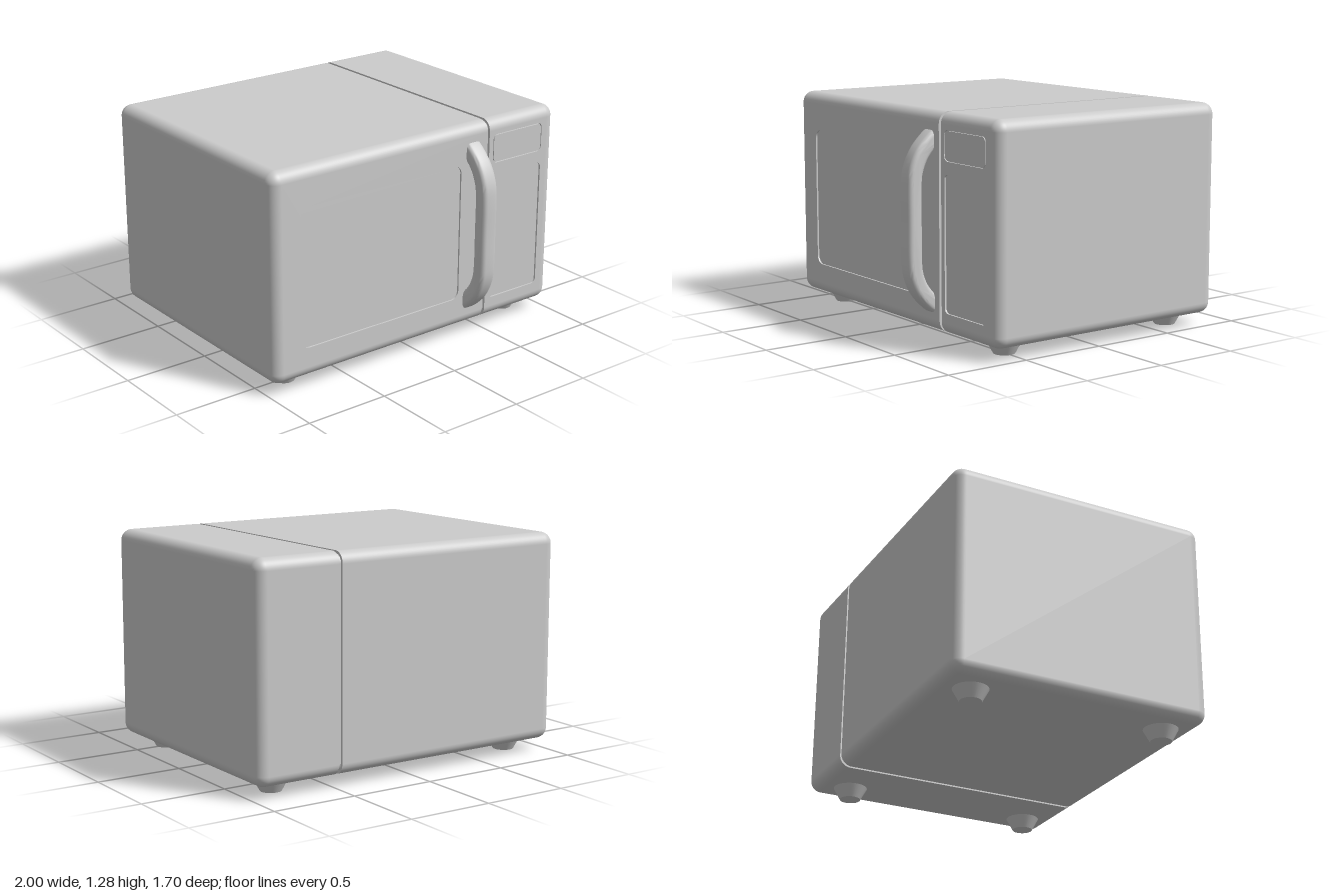
import * as THREE from 'three';
import { RoundedBoxGeometry } from 'three/addons/geometries/RoundedBoxGeometry.js';
import { toCreasedNormals } from 'three/addons/utils/BufferGeometryUtils.js';

const BOTTOM = 0.07, TOP = 1.28, FRONT = 0.69, BACK = -0.85;
const RADIUS = 0.065, RECESS = 0.01;
const MID_Y = (TOP + BOTTOM) / 2, MID_Z = (FRONT + BACK) / 2;
const material = new THREE.MeshStandardMaterial({ color: 0xcccccc, roughness: 0.6 });

function add(parent, name, geometry, x = 0, y = 0, z = 0) {
  const mesh = new THREE.Mesh(geometry, material);
  mesh.name = name;
  mesh.position.set(x, y, z);
  parent.add(mesh);
  return mesh;
}

// Rounded rectangle outline from its edges
function roundedRect(x0, x1, y0, y1, r, Type = THREE.Shape) {
  const s = new Type();
  s.moveTo(x0 + r, y0);
  s.lineTo(x1 - r, y0);
  s.absarc(x1 - r, y0 + r, r, -Math.PI / 2, 0);
  s.lineTo(x1, y1 - r);
  s.absarc(x1 - r, y1 - r, r, 0, Math.PI / 2);
  s.lineTo(x0 + r, y1);
  s.absarc(x0 + r, y1 - r, r, Math.PI / 2, Math.PI);
  s.lineTo(x0, y0 + r);
  s.absarc(x0 + r, y0 + r, r, Math.PI, Math.PI * 1.5);
  return s;
}

// Rounded box with one flat end at x = cut, left open where the front plate sits
function shellGeometry(outer, cut) {
  const dir = Math.sign(cut - outer);
  const width = Math.abs(cut - outer) + RADIUS;
  const g = new RoundedBoxGeometry(width, TOP - BOTTOM, FRONT - BACK, 6, RADIUS);
  g.translate(outer + dir * width / 2, MID_Y, MID_Z);
  const p = g.attributes.position, n = g.attributes.normal;
  const pos = [], nor = [];
  for (let t = 0; t < p.count; t += 3) {
    const ids = [t, t + 1, t + 2];
    if (ids.every(i => p.getZ(i) > FRONT - 1e-4)) continue;
    const cap = ids.every(i => (p.getX(i) - cut) * dir > -1e-4);
    for (const i of ids) {
      const past = (p.getX(i) - cut) * dir > 0;
      pos.push(past ? cut : p.getX(i), p.getY(i), p.getZ(i));
      if (cap) nor.push(dir, 0, 0);
      else nor.push(n.getX(i), n.getY(i), n.getZ(i));
    }
  }
  const out = new THREE.BufferGeometry();
  out.setAttribute('position', new THREE.Float32BufferAttribute(pos, 3));
  out.setAttribute('normal', new THREE.Float32BufferAttribute(nor, 3));
  return out;
}

// Flat front plate with rounded openings, each [x0, x1, y0, y1, radius]
function frontPlate(x0, x1, openings) {
  const y0 = BOTTOM + RADIUS, y1 = TOP - RADIUS;
  const s = new THREE.Shape([[x0, y0], [x1, y0], [x1, y1], [x0, y1]].map(c => new THREE.Vector2(...c)));
  for (const o of openings) s.holes.push(roundedRect(...o, THREE.Path));
  const g = new THREE.ExtrudeGeometry(s, { depth: RECESS, bevelEnabled: false, curveSegments: 8 });
  return toCreasedNormals(g, 0.6);
}

// Curved bar: a band around a side-view centre line, rounded across its width
function handleGeometry() {
  const half = [[0.805, 0.7], [0.805, 0.86], [0.795, 0.96], [0.755, 1.05], [0.69, 1.12], [0.64, 1.155]];
  const mid = 0.675;
  const points = [
    ...half.slice().reverse().map(([z, y]) => new THREE.Vector2(z, 2 * mid - y)),
    ...half.map(([z, y]) => new THREE.Vector2(z, y)),
  ];
  const curve = new THREE.SplineCurve(points);
  const outer = [], inner = [];
  for (let i = 0; i <= 48; i++) {
    const c = curve.getPoint(i / 48), t = curve.getTangent(i / 48);
    const side = new THREE.Vector2(t.y, -t.x).multiplyScalar(0.045);
    outer.push(c.clone().add(side));
    inner.unshift(c.clone().sub(side));
  }
  const bevel = 0.028, width = 0.105;
  const g = new THREE.ExtrudeGeometry(new THREE.Shape([...outer, ...inner]), {
    depth: width - 2 * bevel, bevelEnabled: true, bevelSize: bevel,
    bevelThickness: bevel, bevelOffset: -bevel, bevelSegments: 5,
  });
  g.translate(0, 0, bevel - width / 2);
  g.rotateY(-Math.PI / 2);
  return toCreasedNormals(g, 0.7);
}

export function createModel() {
  const model = new THREE.Group();
  model.name = 'microwaveOven';

  // Case: two shells either side of a narrow seam
  add(model, 'mainCase', shellGeometry(-1, 0.475));
  add(model, 'controlCase', shellGeometry(1, 0.495));
  const inset = 0.015;
  add(model, 'seamCore', new RoundedBoxGeometry(0.3, TOP - BOTTOM - 2 * inset, FRONT - BACK - 2 * inset, 5, RADIUS - inset),
    0.485, MID_Y, MID_Z);

  // Front plates with shallow recesses for window, display and keypad
  const window_ = [-0.815, 0.29, 0.25, 1.06, 0.05];
  const display = [0.525, 0.897, 1.02, 1.19, 0.03];
  const keypad = [0.525, 0.897, 0.19, 0.95, 0.03];
  const z = FRONT - RECESS;
  add(model, 'doorFront', frontPlate(-1 + RADIUS, 0.475, [window_]), 0, 0, z);
  add(model, 'controlFront', frontPlate(0.495, 1 - RADIUS, [display, keypad]), 0, 0, z);
  for (const [name, o] of Object.entries({ windowPanel: window_, displayRecess: display, keypadPanel: keypad })) {
    add(model, name, new THREE.ShapeGeometry(roundedRect(...o)), 0, 0, z);
  }

  // Display screen, outlined by a fine gap
  const gap = 0.005;
  const screen = roundedRect(display[0] + gap, display[1] - gap, display[2] + gap, display[3] - gap, 0.026);
  add(model, 'displayScreen', toCreasedNormals(
    new THREE.ExtrudeGeometry(screen, { depth: RECESS, bevelEnabled: false }), 0.6), 0, 0, z);

  add(model, 'doorHandle', handleGeometry(), 0.3775, 0, 0);

  // Four tapered feet
  const foot = new THREE.CylinderGeometry(0.098, 0.06, BOTTOM, 32);
  for (const x of [-0.805, 0.805]) {
    for (const fz of [0.5, -0.655]) add(model, 'foot', foot, x, BOTTOM / 2, fz);
  }
  return model;
}
